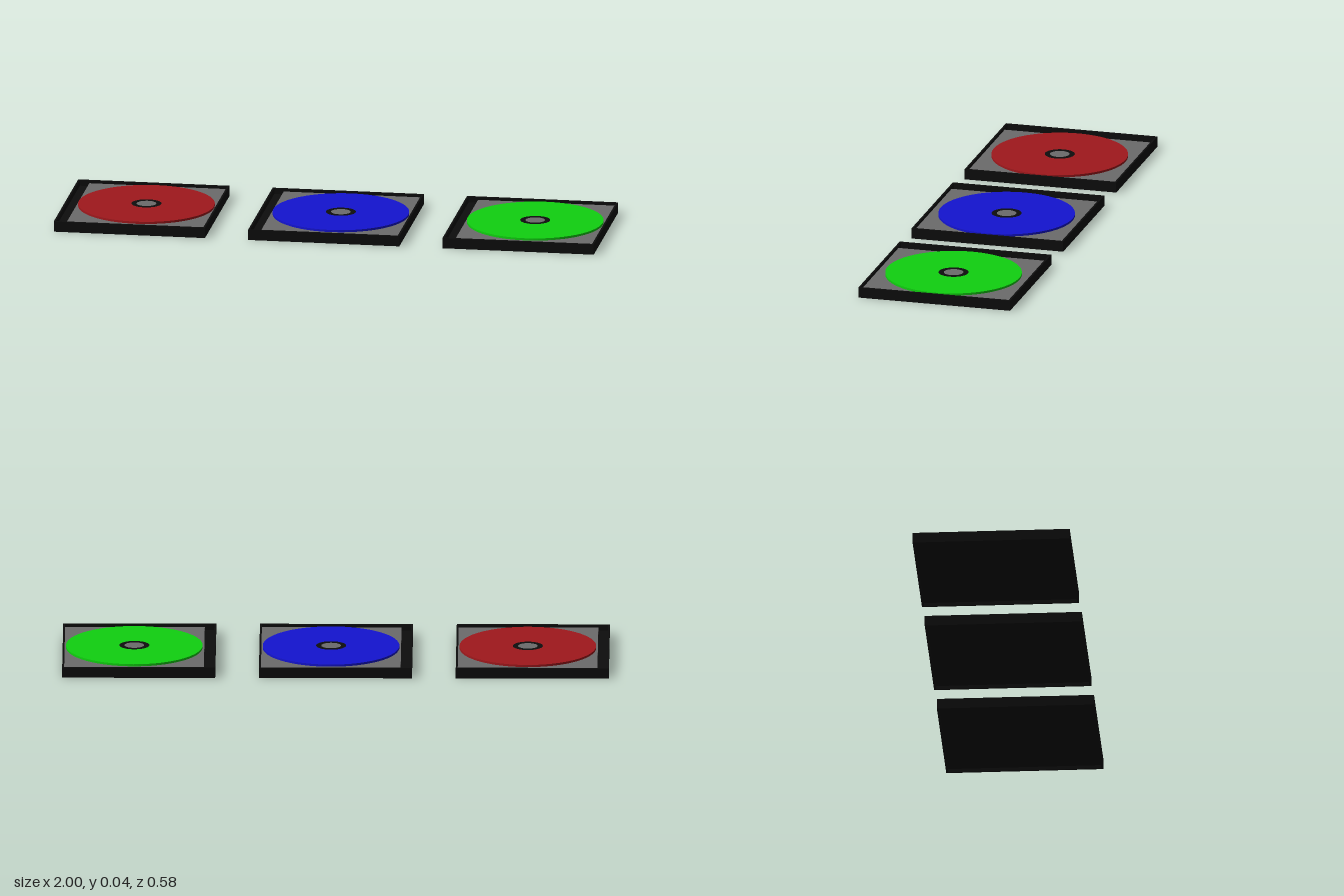
import * as THREE from 'three';

const W = 0.56, D = 0.576, H = 0.039, RIM = 0.007;
const FLOOR_Y = 0.013, GROOVE_Y = 0.017, TRAY_Y = 0.028, DISC_TOP = 0.0405;
const HINGE = 0.042; // width of the open channel beside the tray
const DISC_X = 0.018;

const mat = (color) => new THREE.MeshStandardMaterial({ color });
const black = mat(0x0d0d0d);
const grey = mat(0x6c6c6c);

function add(parent, name, geometry, material, x = 0, y = 0, z = 0) {
  const mesh = new THREE.Mesh(geometry, material);
  mesh.name = name;
  mesh.position.set(x, y, z);
  parent.add(mesh);
}

// Flat box spanning y0..y1
const slab = (w, d, y0, y1) =>
  new THREE.BoxGeometry(w, y1 - y0, d).translate(0, (y0 + y1) / 2, 0);

// Upright extrusion of a plan shape
const upright = (shape, depth, curveSegments = 48) =>
  new THREE.ExtrudeGeometry(shape, { depth, bevelEnabled: false, curveSegments }).rotateX(-Math.PI / 2);

function rectangle(w, d, target = new THREE.Shape()) {
  target.moveTo(-w / 2, -d / 2);
  target.lineTo(w / 2, -d / 2);
  target.lineTo(w / 2, d / 2);
  target.lineTo(-w / 2, d / 2);
  target.closePath();
  return target;
}

function ring(outer, inner, height) {
  const shape = new THREE.Shape().absarc(0, 0, outer, 0, Math.PI * 2);
  shape.holes.push(new THREE.Path().absarc(0, 0, inner, 0, Math.PI * 2, true));
  return upright(shape, height);
}

function discCase(name, color) {
  const group = new THREE.Group();
  group.name = name;

  // Thin outer wall standing above and below the floor
  const wall = rectangle(W, D);
  wall.holes.push(rectangle(W - 2 * RIM, D - 2 * RIM, new THREE.Path()));
  add(group, 'caseWall', upright(wall, H), black);
  add(group, 'caseFloor', slab(W - 2 * RIM, D - 2 * RIM, FLOOR_Y, GROOVE_Y), black);

  // Grey tray, leaving the hinge channel open on one side
  const trayW = W - HINGE - RIM;
  add(group, 'tray', slab(trayW, D - 2 * RIM, GROOVE_Y, TRAY_Y), grey, W / 2 - RIM - trayW / 2);

  // Disc on its hub
  add(group, 'disc', ring(0.25, 0.055, 0.008), mat(color), DISC_X, DISC_TOP - 0.008);
  add(group, 'discInnerRing', ring(0.055, 0.036, 0.008), black, DISC_X, DISC_TOP - 0.008);
  const hubH = DISC_TOP - TRAY_Y;
  add(group, 'hub', new THREE.CylinderGeometry(0.036, 0.036, hubH, 32), grey, DISC_X, TRAY_Y + hubH / 2);
  return group;
}

export function createModel() {
  const model = new THREE.Group();
  model.name = 'discCases';
  [['redDiscCase', 0xa0181c], ['blueDiscCase', 0x1414d0], ['greenDiscCase', 0x10d010]].forEach(([name, color], i) => {
    const item = discCase(name, color);
    item.position.x = (i - 1) * 0.72;
    model.add(item);
  });
  return model;
}
